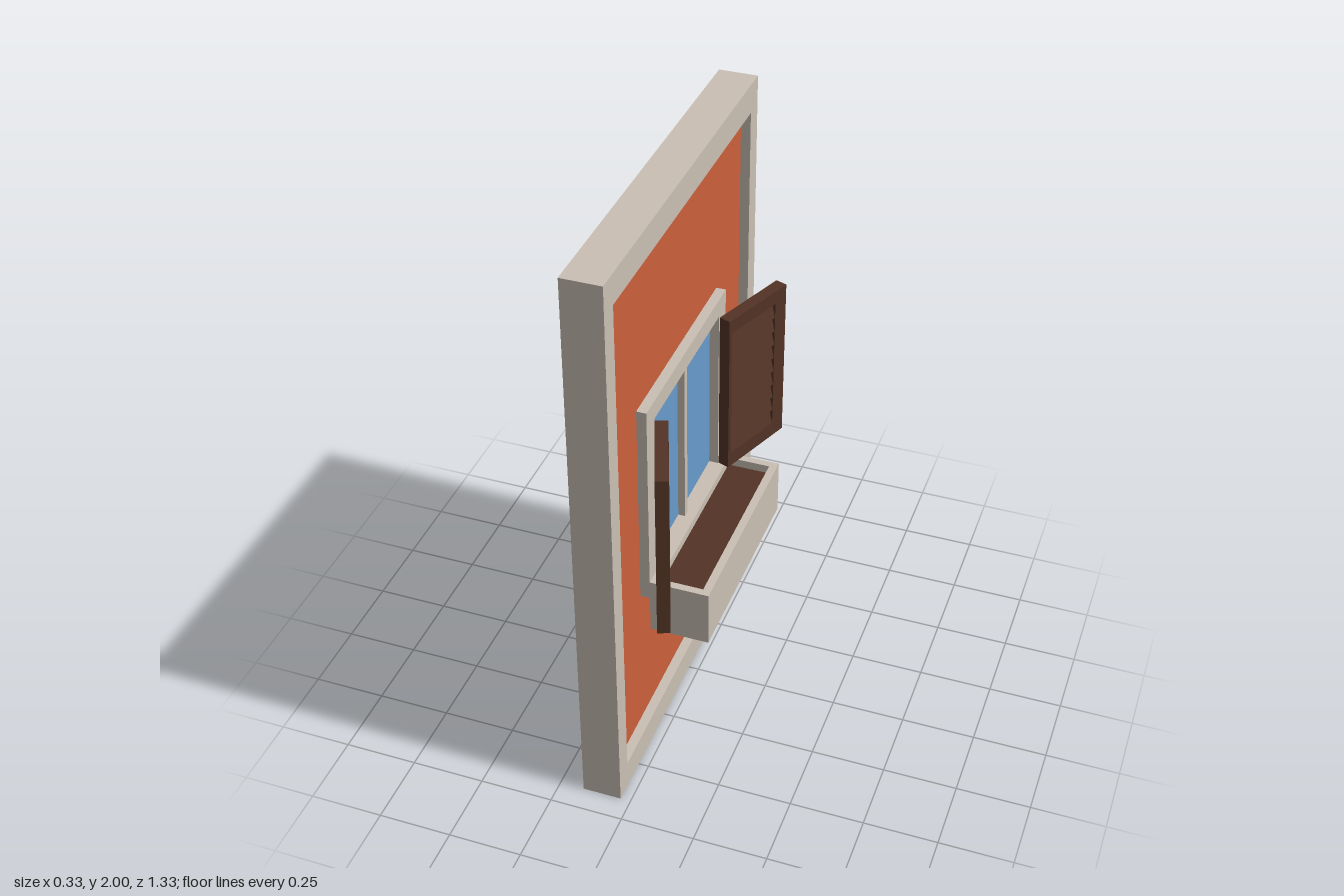
import * as THREE from 'three';

const paint = (name, color) => {
  const m = new THREE.MeshStandardMaterial({ color });
  m.name = name;
  return m;
};

const rect = (P, x0, y0, x1, y1) => {
  const p = new P();
  p.moveTo(x0, y0);
  p.lineTo(x1, y0);
  p.lineTo(x1, y1);
  p.lineTo(x0, y1);
  p.closePath();
  return p;
};

// Rectangular ring, extruded along +z
function ring(outer, hole, depth) {
  const shape = rect(THREE.Shape, ...outer);
  shape.holes.push(rect(THREE.Path, ...hole));
  return new THREE.ExtrudeGeometry(shape, { depth, bevelEnabled: false });
}

function box(x0, x1, y0, y1, z0, z1) {
  return new THREE.BoxGeometry(x1 - x0, y1 - y0, z1 - z0)
    .translate((x0 + x1) / 2, (y0 + y1) / 2, (z0 + z1) / 2);
}

function add(parent, name, geometry, material) {
  const mesh = new THREE.Mesh(geometry, material);
  mesh.name = name;
  parent.add(mesh);
  return mesh;
}

// Stack of slats, each thin at its top and full thickness at its lower edge
function louvres(width, top, pitch, count, deep, proud) {
  const right = [];
  for (let i = 0; i < count; i++) {
    right.push([deep, top - i * pitch], [proud, top - (i + 1) * pitch]);
  }
  const left = right.map(([x, y]) => [-x, y]).reverse();
  const shape = new THREE.Shape([...right, ...left].map(([x, y]) => new THREE.Vector2(x, y)));
  return new THREE.ExtrudeGeometry(shape, { depth: width, bevelEnabled: false })
    .translate(0, 0, -width / 2)
    .rotateY(Math.PI / 2);
}

export function createModel() {
  const stone = paint('stone', 0xcabfb4);
  const plaster = paint('orange plaster', 0xcb603a);
  const glass = paint('glass', 0x689bcb);
  const wood = paint('dark wood', 0x533426);

  const model = new THREE.Group();
  model.name = 'shutteredWindowWall';
  // Built facing +z, then turned to face +x
  const facade = new THREE.Group();
  facade.name = 'facade';
  facade.rotation.y = Math.PI / 2;
  model.add(facade);

  const back = -0.167, recess = -0.068, front = -0.035;

  // Wall slab with raised border and recessed plaster
  add(facade, 'wallSlab', box(-0.667, 0.667, 0, 2, back, recess - 0.005), stone);
  add(facade, 'wallBorder',
    ring([-0.667, 0, 0.667, 2], [-0.6, 0.1, 0.6, 1.9], front - recess + 0.005)
      .translate(0, 0, recess - 0.005), stone);
  add(facade, 'plasterPanel',
    ring([-0.6, 0.1, 0.6, 1.9], [-0.3, 0.7, 0.3, 1.3], 0.005)
      .translate(0, 0, recess - 0.005), plaster);

  // Window
  add(facade, 'windowFrame',
    ring([-0.367, 0.633, 0.367, 1.37], [-0.3, 0.7, 0.3, 1.305], front - recess)
      .translate(0, 0, recess), stone);
  add(facade, 'windowPane', box(-0.3, 0.3, 0.7, 1.305, recess - 0.005, recess + 0.001), glass);
  add(facade, 'mullion', box(-0.012, 0.012, 0.7, 1.305, recess, front - 0.008), stone);

  // Planter box with soil
  add(facade, 'planterWalls',
    ring([-0.367, -0.165, 0.367, -front], [-0.341, -0.138, 0.341, 0.01], 0.18)
      .rotateX(-Math.PI / 2).translate(0, 0.52, 0), stone);
  add(facade, 'planterFloor', box(-0.367, 0.367, 0.5, 0.52, front, 0.165), stone);
  add(facade, 'soil', box(-0.341, 0.341, 0.52, 0.67, -0.01, 0.138), wood);

  // Pair of louvred shutters swung open
  for (const side of [-1, 1]) {
    const shutter = new THREE.Group();
    shutter.name = side < 0 ? 'leftShutter' : 'rightShutter';
    shutter.position.set(side * 0.436, 1, 0.039);
    shutter.rotation.y = -side * THREE.MathUtils.degToRad(20.5);
    facade.add(shutter);

    const edges = [side * -0.136, side * 0.093].sort((a, b) => a - b);
    add(shutter, 'shutterFrame',
      ring([-0.15, -0.3, 0.15, 0.3], [edges[0], -0.245, edges[1], 0.25], 0.042)
        .translate(0, 0, -0.021), wood);
    add(shutter, 'shutterLouvres',
      louvres(0.229, 0.25, 0.055, 9, 0.006, 0.02)
        .translate((edges[0] + edges[1]) / 2, 0, 0), wood);
  }
  return model;
}
